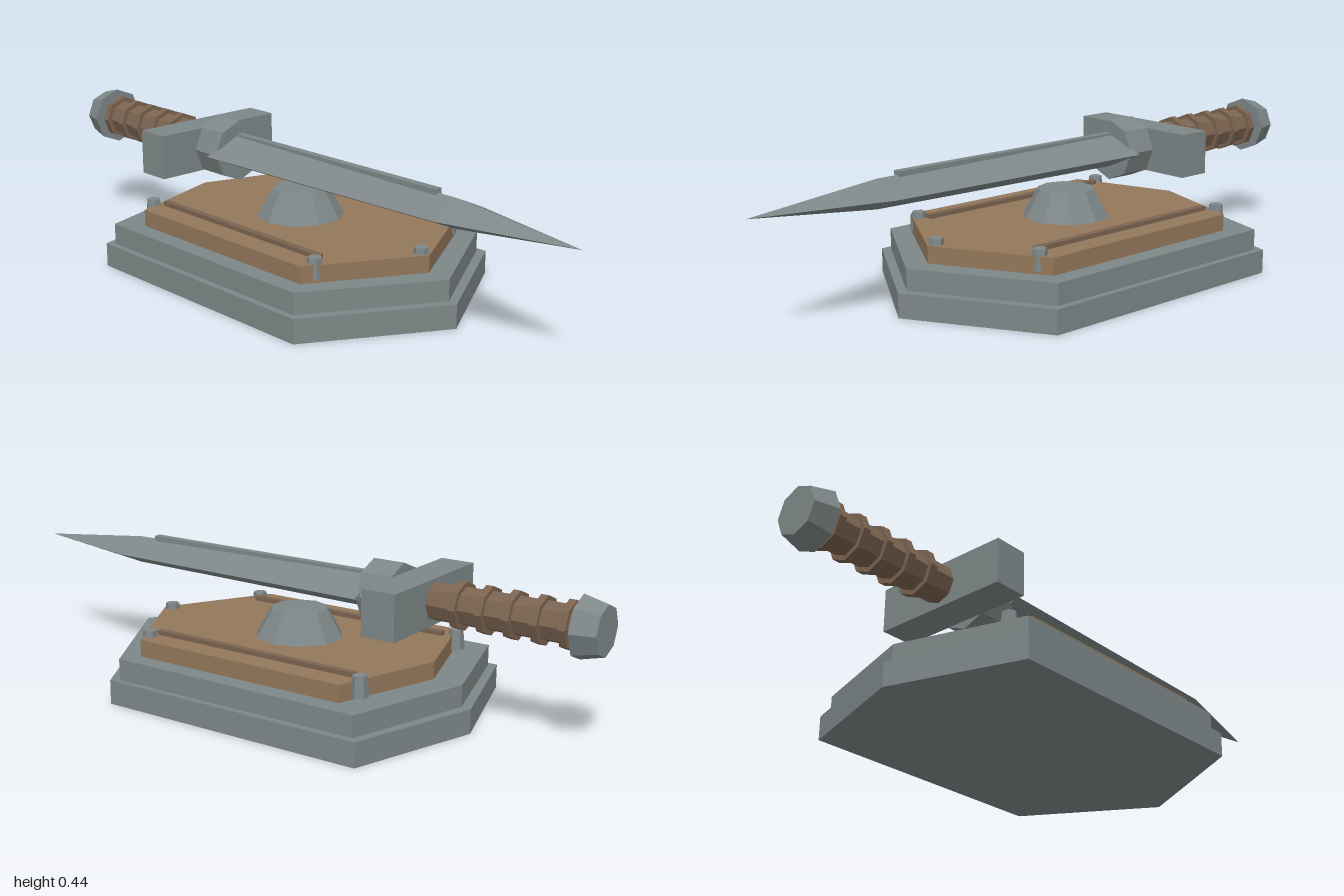
import * as THREE from 'three';

const steel = new THREE.MeshStandardMaterial({ color: 0x7e8788, flatShading: true, name: 'steel grey' });
const wood = new THREE.MeshStandardMaterial({ color: 0x93775a, flatShading: true, name: 'wood brown' });
const leather = new THREE.MeshStandardMaterial({ color: 0x7a6350, flatShading: true, name: 'leather brown' });

const AXIS_Y = 0.35, AXIS_Z = 0.045; // centre line of the sword

function add(parent, name, geometry, material, x = 0, y = 0, z = 0) {
  const mesh = new THREE.Mesh(geometry, material);
  mesh.name = name;
  mesh.position.set(x, y, z);
  parent.add(mesh);
  return mesh;
}

// Six-sided slab with points at its left and right ends
function slab(parent, name, material, y0, y1, tipL, cornerL, cornerR, tipR, halfZ) {
  const shape = new THREE.Shape([
    [tipL, 0], [cornerL, -halfZ], [cornerR, -halfZ],
    [tipR, 0], [cornerR, halfZ], [cornerL, halfZ],
  ].map(p => new THREE.Vector2(...p)));
  const geometry = new THREE.ExtrudeGeometry(shape, { depth: y1 - y0, bevelEnabled: false });
  add(parent, name, geometry.rotateX(-Math.PI / 2), material, 0, y0, 0);
}

// Eight-sided drum lying along x, from x0 to x1
function drum(parent, name, material, x0, x1, r0, r1 = r0) {
  const geometry = new THREE.CylinderGeometry(r1, r0, x1 - x0, 8).rotateZ(-Math.PI / 2);
  add(parent, name, geometry, material, (x0 + x1) / 2);
}

export function createModel() {
  const model = new THREE.Group();
  model.name = 'swordOnPlinth';

  // Stepped plinth
  const plinth = new THREE.Group();
  plinth.name = 'plinth';
  model.add(plinth);
  slab(plinth, 'lowerStep', steel, 0, 0.073, -0.64, -0.515, 0.34, 0.57, 0.4);
  slab(plinth, 'upperStep', steel, 0.073, 0.137, -0.61, -0.495, 0.32, 0.54, 0.38);
  slab(plinth, 'woodenPanel', wood, 0.137, 0.188, -0.52, -0.415, 0.285, 0.465, 0.323);

  // Strips along the panel
  for (const s of [-1, 1]) {
    add(plinth, 'strip', new THREE.BoxGeometry(0.69, 0.016, 0.021), leather, -0.067, 0.193, s * 0.241);
  }

  // Tapered studs at the panel corners
  const studs = [[-0.443, 0.266], [-0.443, -0.266], [0.29, 0.273], [0.29, -0.273], [0.434, 0]];
  for (const [x, z] of studs) {
    add(plinth, 'stud', new THREE.CylinderGeometry(0.021, 0.027, 0.06, 6), steel, x, 0.176, z);
  }

  // Boss under the blade
  add(plinth, 'boss', new THREE.CylinderGeometry(0.085, 0.133, 0.085, 10), steel, -0.06, 0.2295, 0);

  // Sword
  const sword = new THREE.Group();
  sword.name = 'sword';
  sword.position.set(0, AXIS_Y, AXIS_Z);
  model.add(sword);
  drum(sword, 'pommel', steel, -1, -0.93, 0.072, 0.09);
  drum(sword, 'grip', leather, -0.94, -0.49, 0.056);
  for (let i = 0; i < 5; i++) {
    const x = -0.902 + i * 0.081;
    drum(sword, 'gripRing', leather, x - 0.011, x + 0.011, 0.07);
  }
  add(sword, 'guard', new THREE.BoxGeometry(0.105, 0.135, 0.442), steel, -0.439, -0.002, 0);
  drum(sword, 'collar', steel, -0.388, -0.288, 0.095);

  // Diamond-section blade
  const outline = [[0, -0.3], [0.121, -0.3], [0.097, 0.6], [0, 1]].map(p => new THREE.Vector2(...p));
  const blade = new THREE.LatheGeometry(outline, 4).scale(0.44, 1, 1).rotateZ(-Math.PI / 2);
  add(sword, 'blade', blade, steel);
  add(sword, 'bladeRidge', new THREE.BoxGeometry(0.82, 0.025, 0.024), steel, 0.12, 0.0425, 0);

  return model;
}
